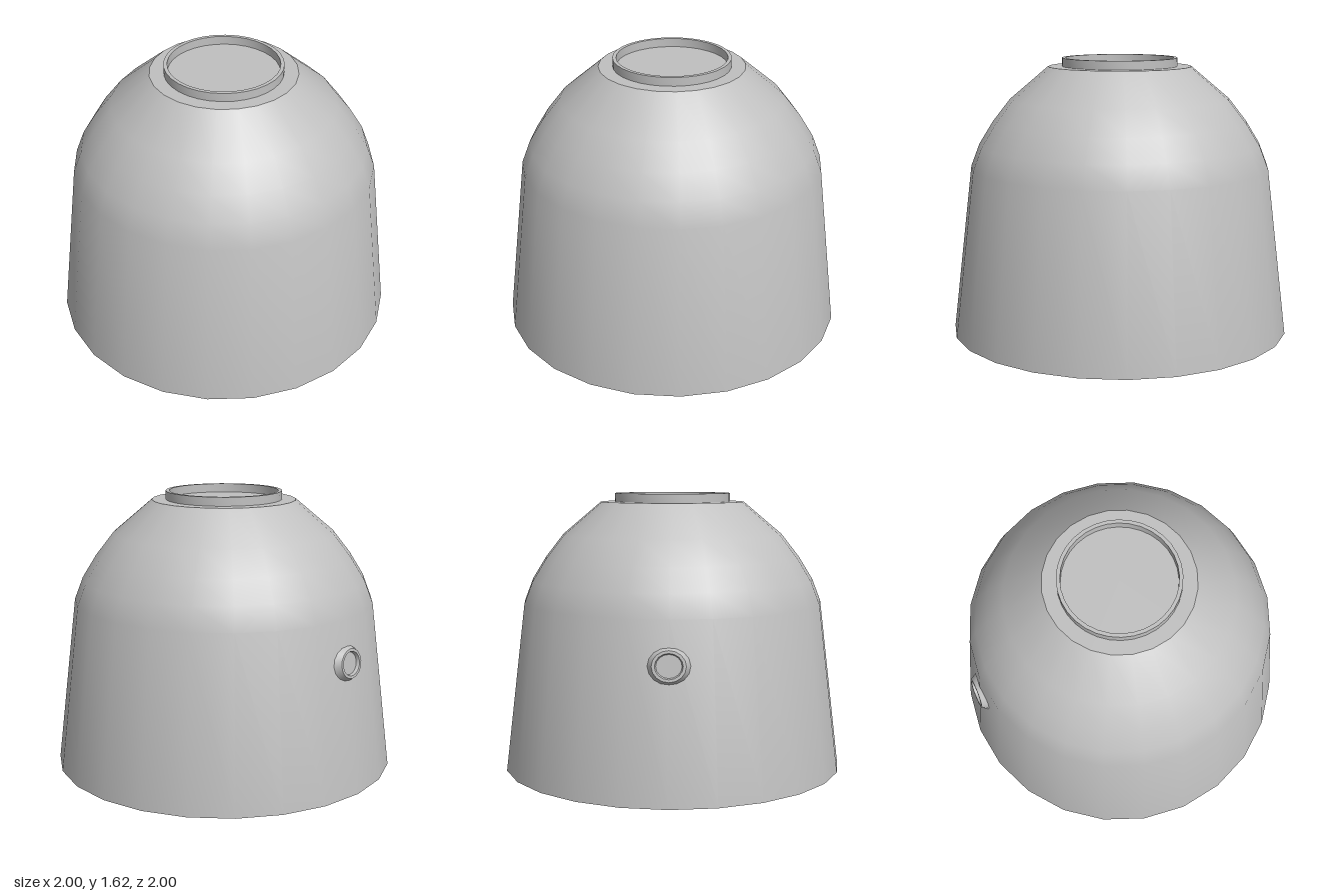
import * as THREE from 'three';
import { toCreasedNormals } from 'three/addons/utils/BufferGeometryUtils.js';

const grey = new THREE.MeshStandardMaterial({ name: 'grey', color: 0xc0c0c0 });

// Turned part from [radius, height] pairs, listed outside-upwards
function turned(name, profile, segments, crease) {
  const points = profile.map(([r, y]) => new THREE.Vector2(r, y));
  const geometry = toCreasedNormals(new THREE.LatheGeometry(points, segments), crease);
  const mesh = new THREE.Mesh(geometry, grey);
  mesh.name = name;
  return mesh;
}

export function createModel() {
  const model = new THREE.Group();
  model.name = 'dome';

  // Tapered wall, rounded shoulder and flat caps
  model.add(turned('body', [
    [0, 0], [1, 0], [0.88, 0.98], [0.83, 1.11], [0.75, 1.24],
    [0.645, 1.375], [0.42, 1.565], [0, 1.565],
  ], 24, 0.6));

  // Raised rim around the flat top
  model.add(turned('topRim', [
    [0.338, 1.56], [0.338, 1.615], [0.317, 1.615], [0.317, 1.56],
  ], 32, 0.6));

  // Small bevelled port set square to the sloping back wall
  const port = new THREE.Group();
  port.name = 'backPort';
  port.add(turned('portRing', [
    [0.105, -0.018], [0.083, 0.021], [0.068, 0.021], [0.062, 0.002],
  ], 16, 0.6));
  port.add(turned('portFloor', [[0.066, 0.003], [0, 0.003]], 16, 0.6));
  port.position.set(0, 0.74, -0.91);
  port.rotation.x = -Math.PI / 2 + 0.122;
  port.scale.x = 1.1;
  model.add(port);

  return model;
}
